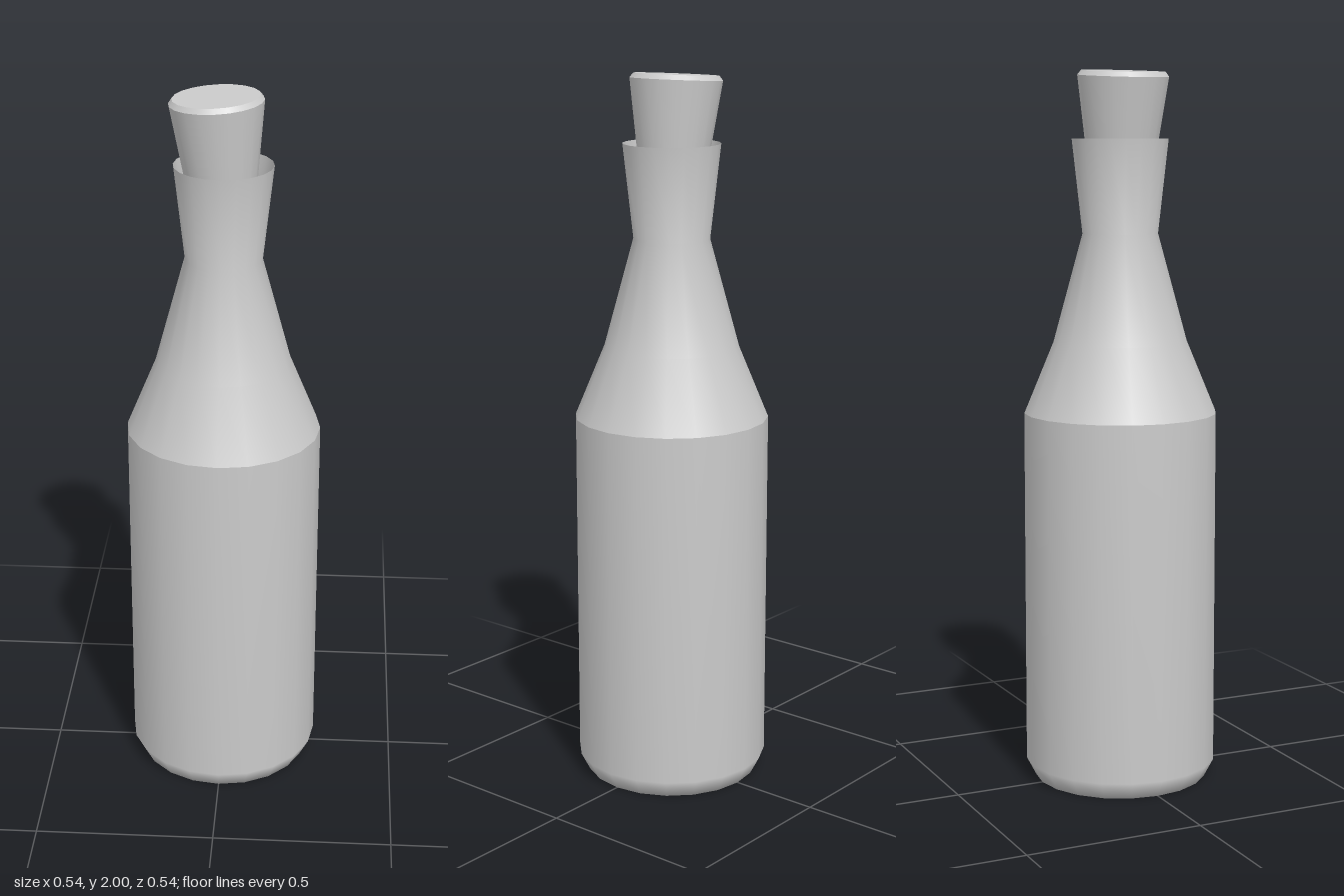
import * as THREE from 'three';

const SIDES = 20;

function material() {
  return new THREE.MeshStandardMaterial({ color: 0xcccccc, side: THREE.DoubleSide });
}

// Turned part from [radius, height] pairs, with a vertex on the +x axis
function turned(name, profile) {
  const points = profile.map(([r, y]) => new THREE.Vector2(r, y));
  const mesh = new THREE.Mesh(new THREE.LatheGeometry(points, SIDES), material());
  mesh.name = name;
  return mesh;
}

export function createModel() {
  const model = new THREE.Group();
  model.name = 'corkedBottle';

  // Straight body with a small bevel round the base
  model.add(turned('bottleBody', [[0, 0], [0.245, 0], [0.271, 0.05], [0.271, 1.05]]));

  // Shoulder and neck, flaring to an open lip
  model.add(turned('bottleNeck', [[0.271, 1.05], [0.188, 1.25], [0.106, 1.55], [0.135, 1.81]]));

  // Tapered stopper, sitting slightly crooked in the neck
  const stopper = new THREE.Group();
  stopper.name = 'stopper';
  stopper.add(
    turned('stopperSide', [[0.078, -0.03], [0.127, 0.321]]),
    turned('stopperBevel', [[0.127, 0.321], [0.117, 0.334]]),
    turned('stopperTop', [[0.117, 0.334], [0, 0.334]]),
    turned('stopperBottom', [[0, -0.03], [0.078, -0.03]])
  );
  stopper.position.y = 1.66;
  stopper.rotation.z = THREE.MathUtils.degToRad(3.4);
  model.add(stopper);

  return model;
}
